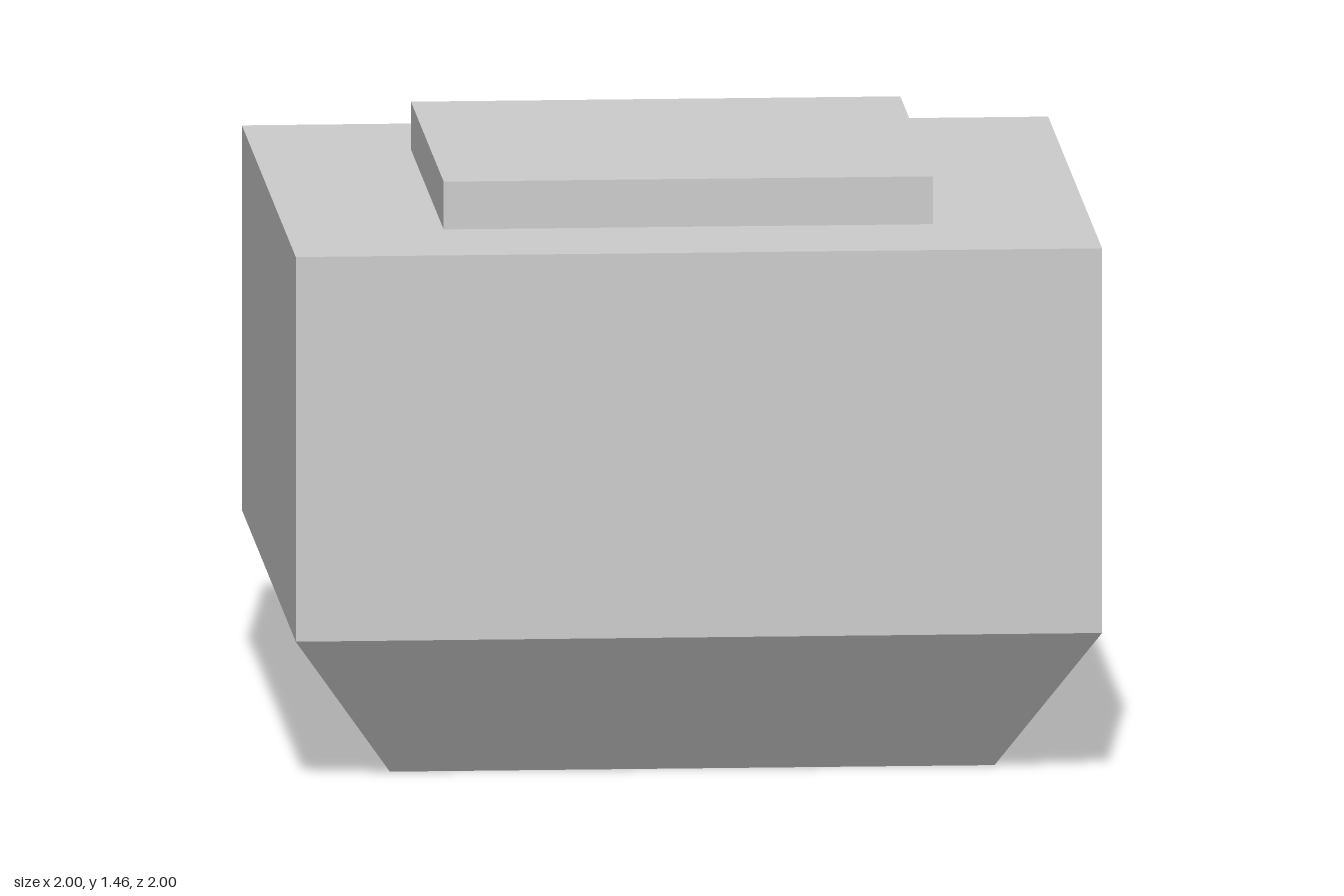
import * as THREE from 'three';

// Square shell swept from a profile of [half width, height] pairs, with flat faces
function squareShell(name, profile, material) {
  const points = profile.map(([half, y]) => new THREE.Vector2(half * Math.SQRT2, y));
  const geometry = new THREE.LatheGeometry(points, 4, Math.PI / 4).toNonIndexed();
  geometry.computeVertexNormals();
  const mesh = new THREE.Mesh(geometry, material);
  mesh.name = name;
  return mesh;
}

export function createModel() {
  const group = new THREE.Group();
  group.name = 'hollowBlock';

  const grey = new THREE.MeshStandardMaterial({ color: 0xcccccc, side: THREE.DoubleSide });
  grey.name = 'light grey';

  // Thin body, open underneath: tapered foot, upright walls and flat top
  group.add(squareShell('body', [[0.75, 0], [1, 0.37], [1, 1.335], [0, 1.335]], grey));

  // Raised square plate on the top
  group.add(squareShell('topPlate', [[0.607, 1.335], [0.607, 1.455], [0, 1.455]], grey));

  return group;
}
